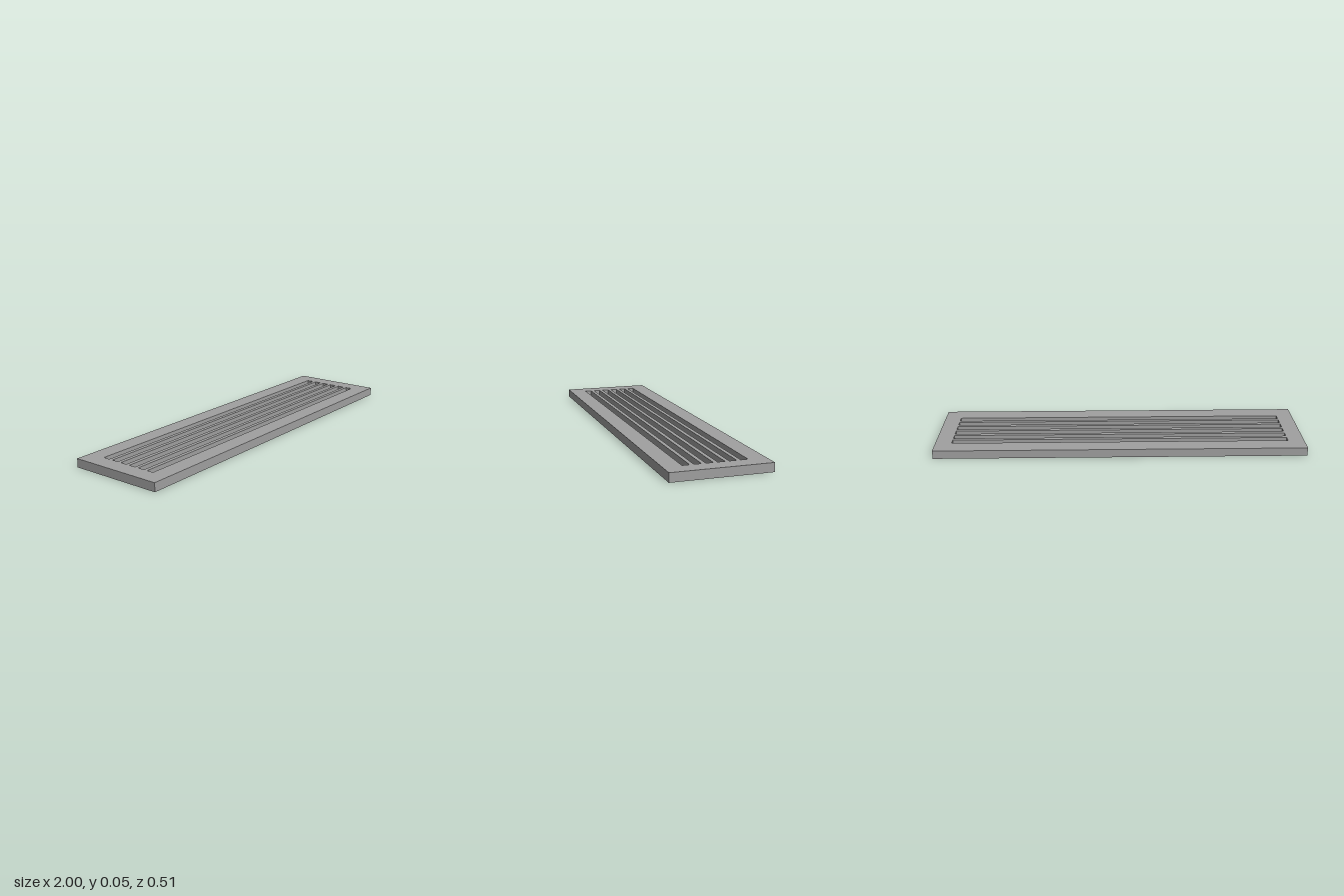
import * as THREE from 'three';

const HALF_LENGTH = 1, HALF_DEPTH = 0.256, HEIGHT = 0.046;
const SLOT_COUNT = 6, SLOT_HALF_LENGTH = 0.912, SLOT_WIDTH = 0.037, SLOT_PITCH = 0.0577;

// Trace a rectangle centred on x = 0 at height y
function traceRectangle(path, halfX, y, halfY) {
  path.moveTo(-halfX, y - halfY);
  path.lineTo(halfX, y - halfY);
  path.lineTo(halfX, y + halfY);
  path.lineTo(-halfX, y + halfY);
  path.closePath();
  return path;
}

export function createModel() {
  const model = new THREE.Group();
  model.name = 'ventGrille';

  const greyMetal = new THREE.MeshStandardMaterial({ color: 0xa0a0a0 });
  greyMetal.name = 'grey metal';

  // Flat plate with evenly spaced slots cut through it
  const outline = traceRectangle(new THREE.Shape(), HALF_LENGTH, 0, HALF_DEPTH);
  for (let i = 0; i < SLOT_COUNT; i++) {
    const y = (i - (SLOT_COUNT - 1) / 2) * SLOT_PITCH;
    outline.holes.push(traceRectangle(new THREE.Path(), SLOT_HALF_LENGTH, y, SLOT_WIDTH / 2));
  }

  // Lay the extrusion flat, standing on y = 0
  const geometry = new THREE.ExtrudeGeometry(outline, { depth: HEIGHT, bevelEnabled: false });
  geometry.rotateX(-Math.PI / 2);

  const plate = new THREE.Mesh(geometry, greyMetal);
  plate.name = 'slottedPlate';
  model.add(plate);

  return model;
}
